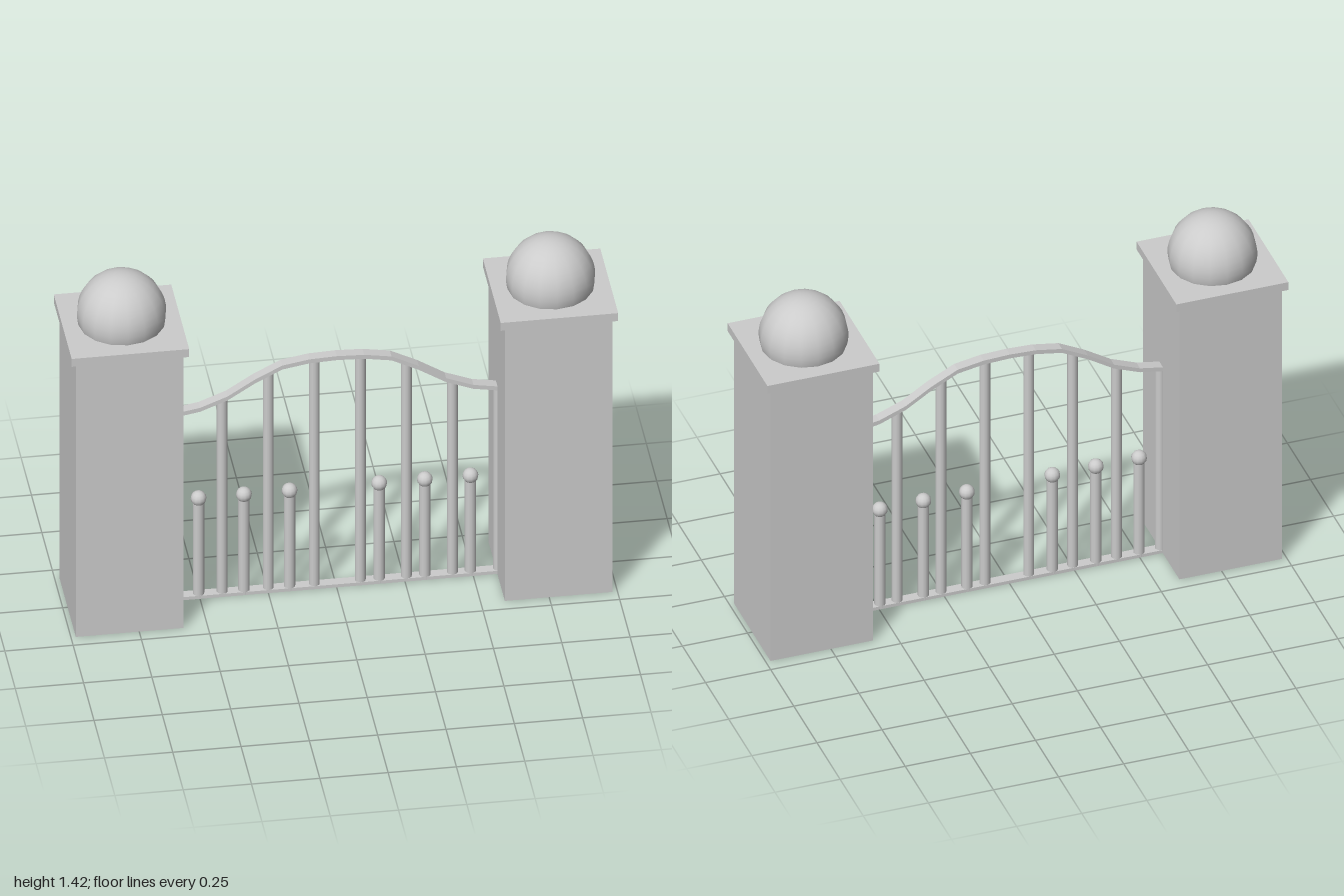
import * as THREE from 'three';

const material = new THREE.MeshStandardMaterial({ color: 0xcccccc });

function add(parent, name, geometry, x, y, z = 0) {
  const mesh = new THREE.Mesh(geometry, material);
  mesh.name = name;
  mesh.position.set(x, y, z);
  parent.add(mesh);
  return mesh;
}

// Top of the arched rail, one point per 0.1 of half width
const RAIL_X = [0, 0.1, 0.2, 0.3, 0.4, 0.5, 0.592];
const RAIL_Y = [1.003, 0.999, 0.982, 0.931, 0.868, 0.829, 0.813];
const RAIL_THICKNESS = 0.017;

function railTop(x) {
  const a = Math.min(Math.abs(x), 0.591);
  const i = Math.min(Math.floor(a * 10), 5);
  const t = (a - RAIL_X[i]) / (RAIL_X[i + 1] - RAIL_X[i]);
  return THREE.MathUtils.lerp(RAIL_Y[i], RAIL_Y[i + 1], t);
}

// Square pillar with a cap slab and a ball sunk into it
function createPillar(name, x) {
  const pillar = new THREE.Group();
  pillar.name = name;
  pillar.position.x = x;
  add(pillar, 'pillarShaft', new THREE.BoxGeometry(0.394, 1.185, 0.394), 0, 0.5925);
  add(pillar, 'pillarCap', new THREE.BoxGeometry(0.43, 0.034, 0.43), 0, 1.2);
  const ball = new THREE.SphereGeometry(0.163, 16, 12, 0, Math.PI * 2, 0, Math.PI * 0.62);
  add(pillar, 'pillarBall', ball, 0, 1.26);
  return pillar;
}

function createGate() {
  const gate = new THREE.Group();
  gate.name = 'gate';

  // Arched top rail
  const points = RAIL_X.map((x, i) => new THREE.Vector2(x, RAIL_Y[i]));
  const left = points.slice(1).reverse().map((p) => new THREE.Vector2(-p.x, p.y));
  const top = [...left, ...points];
  const bottom = top.map((p) => new THREE.Vector2(p.x, p.y - RAIL_THICKNESS)).reverse();
  const railShape = new THREE.Shape([...top, ...bottom]);
  const rail = new THREE.ExtrudeGeometry(railShape, { depth: 0.04, bevelEnabled: false });
  add(gate, 'topRail', rail, 0, 0, -0.02);

  // Straight bottom rail
  add(gate, 'bottomRail', new THREE.BoxGeometry(1.18, 0.013, 0.04), 0, 0.0085);

  // Tall bars, reaching up into the rail with tops cut along its slope
  for (let i = 0; i < 8; i++) {
    const x = -0.585 + i * 0.1685;
    const bar = new THREE.CylinderGeometry(0.02, 0.02, 1, 12);
    const pos = bar.attributes.position;
    for (let j = 0; j < pos.count; j++) {
      const upper = pos.getY(j) > 0;
      pos.setY(j, upper ? railTop(x + pos.getX(j)) - RAIL_THICKNESS * 0.7 : 0.004);
    }
    add(gate, 'tallBar', bar, x, 0);
  }

  // Short bars with ball finials
  for (const x of [-0.503, -0.337, -0.17, 0.158, 0.325, 0.492]) {
    add(gate, 'shortBar', new THREE.CylinderGeometry(0.021, 0.021, 0.406, 12), x, 0.207);
    add(gate, 'barFinial', new THREE.SphereGeometry(0.029, 12, 8), x, 0.426);
  }
  return gate;
}

export function createModel() {
  const model = new THREE.Group();
  model.name = 'gateway';
  model.add(createPillar('rightPillar', -0.785));
  model.add(createPillar('leftPillar', 0.785));
  model.add(createGate());
  return model;
}
